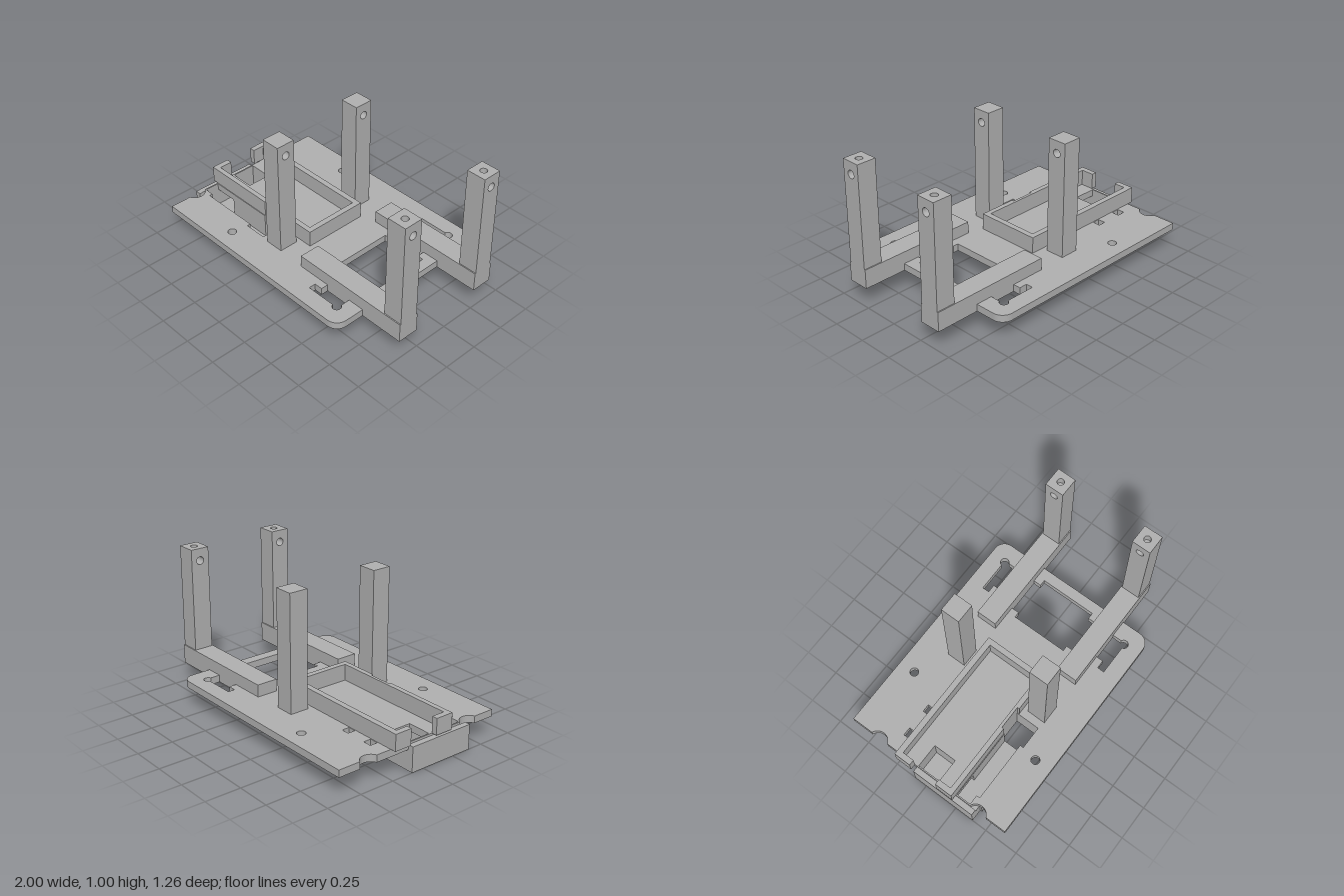
import * as THREE from 'three';

const grey = new THREE.MeshStandardMaterial({ color: 0xb0b0b0 });
grey.name = 'plain grey';

const toPoints = (list) => list.map(([x, z]) => new THREE.Vector2(x, z));
const rect = (x0, x1, z0, z1) => [[x0, z0], [x1, z0], [x1, z1], [x0, z1]];

function arc(cx, cz, r, a0, a1, n = 14) {
  return Array.from({ length: n + 1 }, (_, i) => {
    const a = a0 + ((a1 - a0) * i) / n;
    return [cx + r * Math.cos(a), cz + r * Math.sin(a)];
  });
}
const circle = (x, z, r) => arc(x, z, r, 0, Math.PI * 2, 24).slice(0, -1);

function makeShape(outline, holes) {
  const shape = new THREE.Shape(toPoints(outline));
  holes.forEach((h) => shape.holes.push(new THREE.Path(toPoints(h))));
  return shape;
}

function addMesh(parent, name, geometry) {
  const mesh = new THREE.Mesh(geometry, grey);
  mesh.name = name;
  parent.add(mesh);
}

// Plan outline in (x, z), extruded from y0 up to y1
function addSlab(parent, name, outline, y0, y1, holes = []) {
  const g = new THREE.ExtrudeGeometry(makeShape(outline, holes), { depth: y1 - y0, bevelEnabled: false });
  g.rotateX(Math.PI / 2).translate(0, y1, 0);
  addMesh(parent, name, g);
}

function addBox(parent, name, x0, x1, y0, y1, z0, z1) {
  const g = new THREE.BoxGeometry(x1 - x0, y1 - y0, z1 - z0);
  g.translate((x0 + x1) / 2, (y0 + y1) / 2, (z0 + z1) / 2);
  addMesh(parent, name, g);
}

// Block with a round hole running along x
function addDrilled(parent, name, x0, x1, y0, y1, zc, halfWidth) {
  const shape = makeShape(rect(-halfWidth, halfWidth, y0, y1), [circle(0, 0.914, 0.028)]);
  const g = new THREE.ExtrudeGeometry(shape, { depth: x1 - x0, bevelEnabled: false });
  g.rotateY(Math.PI / 2).translate(x0, 0, zc);
  addMesh(parent, name, g);
}

export function createModel() {
  const model = new THREE.Group();
  model.name = 'mountingFrame';
  const PI = Math.PI;

  // Base plate: rounded right corners, two round notches in the left edge
  const bite = 1.2;
  const plate = [
    [-0.96, -0.635], ...arc(0.605, -0.555, 0.08, -PI / 2, 0), ...arc(0.605, 0.55, 0.08, 0, PI / 2),
    [-0.96, 0.63], ...arc(-0.985, 0.41, 0.07, bite, -bite), ...arc(-0.985, -0.41, 0.07, bite, -bite),
  ];
  // Stepped window with screw holes breaking into its outer corners
  const halfWindow = [
    [0.27, -0.21], [0.31, -0.21], [0.31, -0.27], [0.37, -0.27], [0.37, -0.47], [0.31, -0.47], [0.31, -0.52],
    ...arc(0.555, -0.515, 0.03, PI + 0.17, 2 * PI + 1.23), [0.565, -0.21], [0.61, -0.21],
  ];
  const window = [...halfWindow, ...halfWindow.map(([x, z]) => [x, -0.01 - z]).reverse()];
  const channel = [
    [-0.95, 0.235], [-0.44, 0.235], [-0.44, 0.215], [-0.275, 0.215], [-0.275, 0.39],
    [-0.44, 0.39], [-0.44, 0.365], [-0.88, 0.365], [-0.88, 0.34], [-0.95, 0.34],
  ];
  addSlab(model, 'basePlate', plate, 0.14, 0.19, [
    window, channel,
    rect(-0.95, -0.78, -0.085, 0.085),
    rect(-0.845, -0.785, -0.295, -0.24), rect(-0.64, -0.585, -0.295, -0.24),
    circle(-0.46, -0.515, 0.03), circle(-0.46, 0.505, 0.03),
  ]);

  // Open tray with a gap in its left end and a shallow notch in its front wall
  addSlab(model, 'trayWalls', [
    [-1, -0.235], [0.01, -0.235], [0.01, 0.23], [-0.27, 0.23], [-0.27, 0.215], [-0.44, 0.215],
    [-0.44, 0.23], [-1, 0.23], [-1, 0.1], [-0.96, 0.1], [-0.96, 0.195], [-0.03, 0.195],
    [-0.03, -0.195], [-0.96, -0.195], [-0.96, -0.11], [-1, -0.11],
  ], 0.19, 0.305);

  // L-shaped duct under the plate, open through at its right end
  const duct = [
    [-1, -0.093], [-0.5, -0.093], [-0.5, 0.205], [-0.268, 0.205],
    [-0.268, 0.405], [-0.915, 0.405], [-0.915, 0.39], [-1, 0.39],
  ];
  const cavity = [[-0.95, -0.085], [-0.78, -0.085], [-0.78, 0.235], ...channel.slice(1)];
  addSlab(model, 'ductWalls', duct, 0.015, 0.14, [cavity]);
  addSlab(model, 'ductFloor', duct, 0, 0.015, [rect(-0.44, -0.275, 0.215, 0.39)]);
  addBox(model, 'ductEndLip', -1, -0.96, 0.14, 0.175, -0.093, 0.39);

  // Posts, arms and under-rails, one set per side
  for (const [side, s] of [['front', 1], ['back', -1]]) {
    const zc = s * 0.3375 - 0.004;
    const w = 0.0675;
    const set = new THREE.Group();
    set.name = side + 'Supports';
    model.add(set);

    // Inner post with a blind hole on its right face
    addBox(set, 'innerPostCore', -0.22, -0.155, 0.19, 1, zc - w, zc + w);
    addDrilled(set, 'innerPostFace', -0.155, -0.085, 0.19, 1, zc, w);

    // Arm carrying the outer post, cross-drilled and drilled from the top
    addBox(set, 'arm', 0.12, 1, 0.14, 0.275, zc - 0.075, zc + 0.075);
    addDrilled(set, 'outerPost', 0.862, 1, 0.275, 0.945, zc, w);
    addSlab(set, 'outerPostCap', rect(0.862, 1, zc - w, zc + w), 0.945, 1, [circle(0.932, zc, 0.024)]);

    const zr = s * 0.5605;
    addBox(set, 'underRail', -0.25, 0.355, 0.09, 0.14, zr - 0.017, zr + 0.017);
  }
  return model;
}
